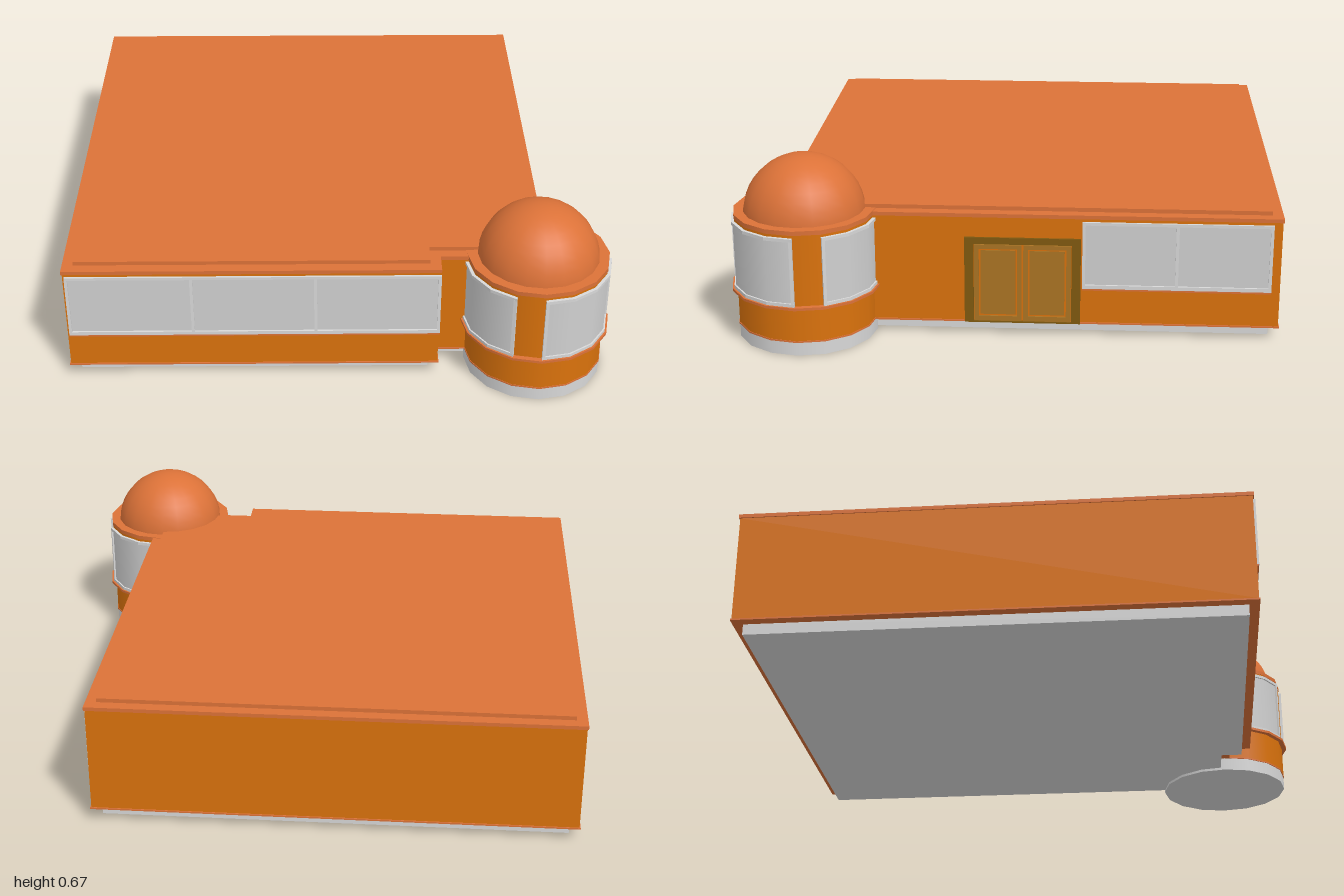
import * as THREE from 'three';

const mat = (name, color) => new THREE.MeshStandardMaterial({ name, color });

export function createModel() {
  const model = new THREE.Group();
  model.name = 'building';
  const wall = mat('ochre wall', 0xda720c);
  const roof = mat('terracotta roof', 0xdc7238);
  const pale = mat('pale grey frame', 0xd8d8d8);
  const glass = mat('grey glass', 0xd0d0d0);
  const doorWood = mat('door wood', 0xab7424);
  const doorDark = mat('dark door frame', 0x80590f);

  const add = (parent, name, geometry, material, x = 0, y = 0, z = 0) => {
    const m = new THREE.Mesh(geometry, material);
    m.name = name;
    m.position.set(x, y, z);
    parent.add(m);
    return m;
  };
  const group = (name, parent = model) => {
    const g = new THREE.Group();
    g.name = name;
    parent.add(g);
    return g;
  };
  // Upright prism from a plan given as [x, z] points
  const prism = (plan, y0, y1) => {
    const shape = new THREE.Shape(plan.map(([x, z]) => new THREE.Vector2(x, -z)));
    return new THREE.ExtrudeGeometry(shape, { depth: y1 - y0, bevelEnabled: false })
      .rotateX(-Math.PI / 2).translate(0, y0, 0);
  };
  // Main plan, pulled in by d on every side
  const plan = (d) => [
    [-0.995 + d, -1 + d], [0.755 - d, -1 + d], [0.755 - d, 0.74 - d],
    [0.365 - d, 0.74 - d], [0.365 - d, 0.822 - d], [-0.995 + d, 0.822 - d],
  ];

  // Main block
  add(model, 'plinth', prism(plan(0.037), 0.01, 0.05), pale);
  add(model, 'floorEdge', prism(plan(0), 0.05, 0.056), roof);
  add(model, 'walls', prism(plan(0.004), 0.056, 0.456), wall);
  add(model, 'roofEdge', prism(plan(0), 0.456, 0.47), roof);
  add(model, 'roofSlab', prism(plan(0.04), 0.47, 0.485), roof);

  // Flat rectangle with rectangular openings, facing +z
  const rect = (Type, x0, y0, x1, y1) => new Type([
    new THREE.Vector2(x0, y0), new THREE.Vector2(x1, y0),
    new THREE.Vector2(x1, y1), new THREE.Vector2(x0, y1),
  ]);
  const panel = (outer, holes, depth) => {
    const shape = rect(THREE.Shape, ...outer);
    shape.holes = holes.map((h) => rect(THREE.Path, ...h));
    return new THREE.ExtrudeGeometry(shape, { depth, bevelEnabled: false });
  };

  // Strip window: frame with panes, centred at its own origin
  const windowStrip = (name, width, count) => {
    const g = group(name);
    const y0 = 0.19, y1 = 0.445, b = 0.011;
    const step = (width - b) / count;
    const panes = [];
    for (let i = 0; i < count; i++) {
      const x = -width / 2 + b + i * step;
      panes.push([x, y0 + 0.014, x + step - b, y1 - b]);
    }
    add(g, 'windowFrame', panel([-width / 2, y0, width / 2, y1], panes, 0.009), pale);
    add(g, 'windowGlass', panel([-width / 2, y0, width / 2, y1], [], 0.002), glass);
    add(g, 'windowSill', panel([-width / 2, 0.183, width / 2, y0], [], 0.008), roof);
    return g;
  };
  const front = windowStrip('frontWindows', 1.35, 3);
  front.position.set(-0.31, 0, 0.817);
  const side = windowStrip('sideWindows', 0.68, 2);
  side.position.set(0.75, 0, -0.625);
  side.rotation.y = Math.PI / 2;

  // Double door in the side wall
  const door = group('doubleDoor');
  door.position.set(0.75, 0, -0.07);
  door.rotation.y = Math.PI / 2;
  add(door, 'doorFrame', panel([-0.21, 0.05, 0.21, 0.38], [[-0.177, 0.056, 0.177, 0.355]], 0.009), doorDark);
  add(door, 'doorGap', panel([-0.177, 0.05, 0.177, 0.355], [], 0.001), doorDark);
  for (const s of [-1, 1]) {
    const c = s * 0.089;
    add(door, 'doorLeaf', panel([c - 0.086, 0.056, c + 0.086, 0.352],
      [[c - 0.069, 0.075, c + 0.069, 0.336]], 0.007), doorWood);
    add(door, 'doorPanel', panel([c - 0.063, 0.081, c + 0.063, 0.33], [], 0.004), doorWood);
  }

  // Round corner tower
  const tower = group('cornerTower');
  tower.position.set(0.72, 0, 0.72);
  const drum = (name, r, y0, y1, material) =>
    add(tower, name, new THREE.CylinderGeometry(r, r, y1 - y0, 16), material, 0, (y0 + y1) / 2, 0);
  drum('towerPlinth', 0.255, 0, 0.05, pale);
  drum('towerFloorEdge', 0.258, 0.05, 0.056, roof);
  drum('towerWall', 0.256, 0.056, 0.456, wall);
  drum('towerSill', 0.275, 0.18, 0.19, roof);
  drum('towerRoofEdge', 0.258, 0.456, 0.472, roof);

  // Block following part of the tower's 16-sided ring, angles in degrees from +z to +x
  const arcBlock = (r0, r1, a0, a1, y0, y1) => {
    const n = Math.max(1, Math.round((a1 - a0) / 22.5));
    const at = (r, i) => {
      const a = THREE.MathUtils.degToRad(a0 + ((a1 - a0) * i) / n);
      return [r * Math.sin(a), r * Math.cos(a)];
    };
    const pts = [];
    for (let i = 0; i <= n; i++) pts.push(at(r1, i));
    for (let i = n; i >= 0; i--) pts.push(at(r0, i));
    return prism(pts, y0, y1);
  };
  for (const [a0, a1] of [[-90, -22.5], [0, 90], [112.5, 180]]) {
    const g = group('towerWindow', tower);
    const rad = THREE.MathUtils.degToRad;
    add(g, 'towerGlass', new THREE.CylinderGeometry(0.262, 0.262, 0.25,
      Math.round((a1 - a0) / 22.5), 1, true, rad(a0), rad(a1 - a0)), glass, 0, 0.317, 0);
    add(g, 'lowerRail', arcBlock(0.25, 0.268, a0, a1, 0.19, 0.202), pale);
    add(g, 'upperRail', arcBlock(0.25, 0.268, a0, a1, 0.434, 0.446), pale);
    add(g, 'jamb', arcBlock(0.25, 0.267, a0, a0 + 2.5, 0.2, 0.436), pale);
    add(g, 'jamb', arcBlock(0.25, 0.267, a1 - 2.5, a1, 0.2, 0.436), pale);
  }

  // Dome cap
  add(tower, 'dome', new THREE.SphereGeometry(0.222, 20, 10, 0, Math.PI * 2, 0, Math.PI / 2), roof, 0, 0.45, 0);
  return model;
}
